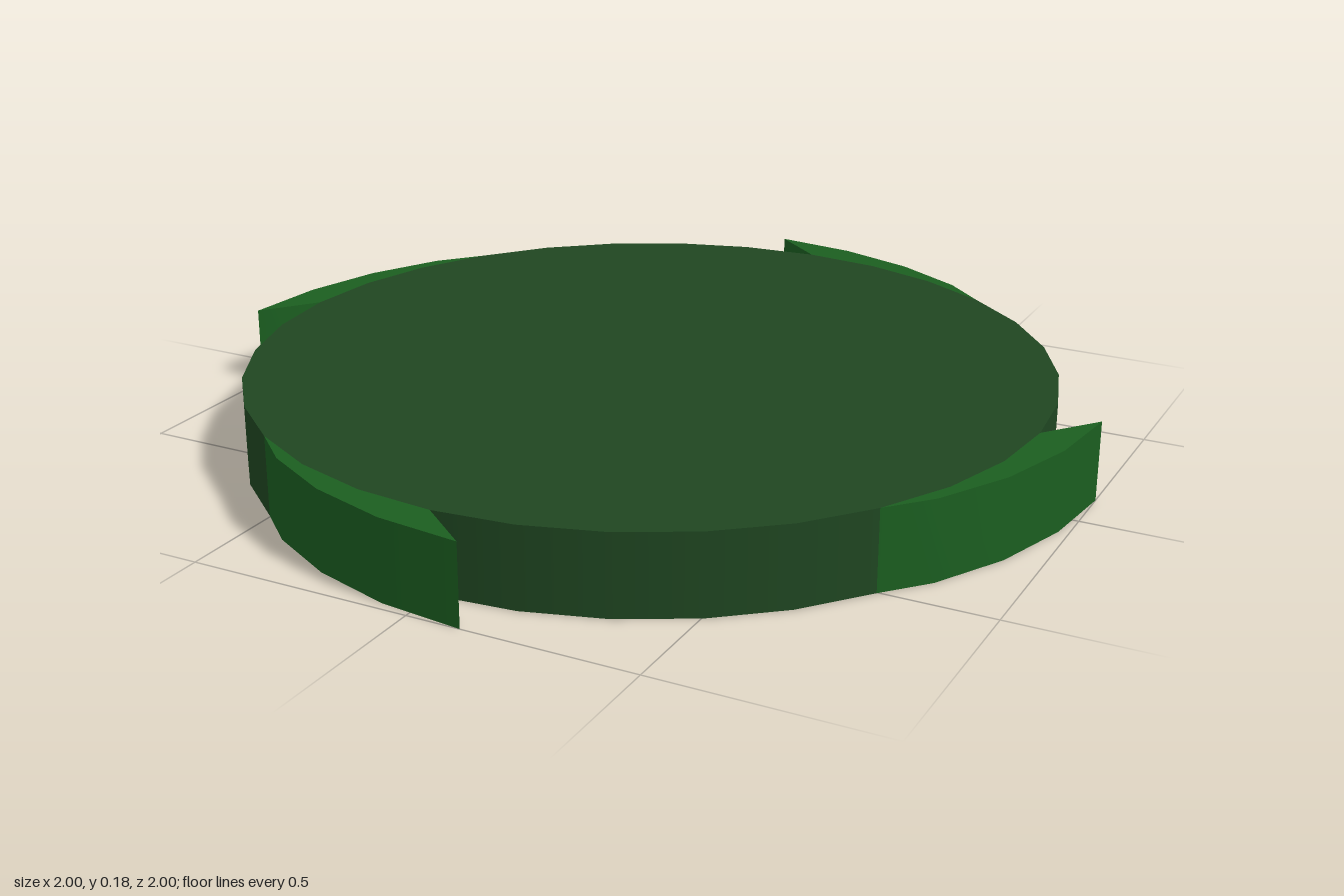
import * as THREE from 'three';
import { toCreasedNormals } from 'three/addons/utils/BufferGeometryUtils.js';

const HEIGHT = 0.18, RADIUS = 0.905, SIDES = 32, TEETH = 4;

// Ratchet tooth in plan (x, z): curved back from the rim to the tip, undercut back to the disc
function toothGeometry() {
  const outer = [[-0.41, 0.835], [-0.25, 0.922], [-0.07, 0.978], [0.12, 1.0]];
  const points = outer.map(([x, z]) => new THREE.Vector2(x, z));
  // inner edge follows the disc's facets
  for (let i = 0; i <= 3; i++) {
    const a = (i / SIDES) * Math.PI * 2;
    points.push(new THREE.Vector2(-Math.sin(a) * RADIUS, Math.cos(a) * RADIUS));
  }
  const geometry = new THREE.ExtrudeGeometry(new THREE.Shape(points), { depth: HEIGHT, bevelEnabled: false });
  geometry.rotateX(Math.PI / 2).translate(0, HEIGHT, 0);
  return toCreasedNormals(geometry, 0.6);
}

export function createModel() {
  const model = new THREE.Group();
  model.name = 'ratchetDisc';

  // Main disc
  const disc = new THREE.Mesh(
    new THREE.CylinderGeometry(RADIUS, RADIUS, HEIGHT, SIDES),
    new THREE.MeshStandardMaterial({ color: 0x1f4621 })
  );
  disc.name = 'disc';
  disc.position.y = HEIGHT / 2;
  model.add(disc);

  // Teeth around the rim
  const geometry = toothGeometry();
  const material = new THREE.MeshStandardMaterial({ color: 0x1b5e20 });
  for (let i = 0; i < TEETH; i++) {
    const tooth = new THREE.Mesh(geometry, material);
    tooth.name = `tooth${i + 1}`;
    tooth.rotation.y = (i / TEETH) * Math.PI * 2;
    model.add(tooth);
  }
  return model;
}
